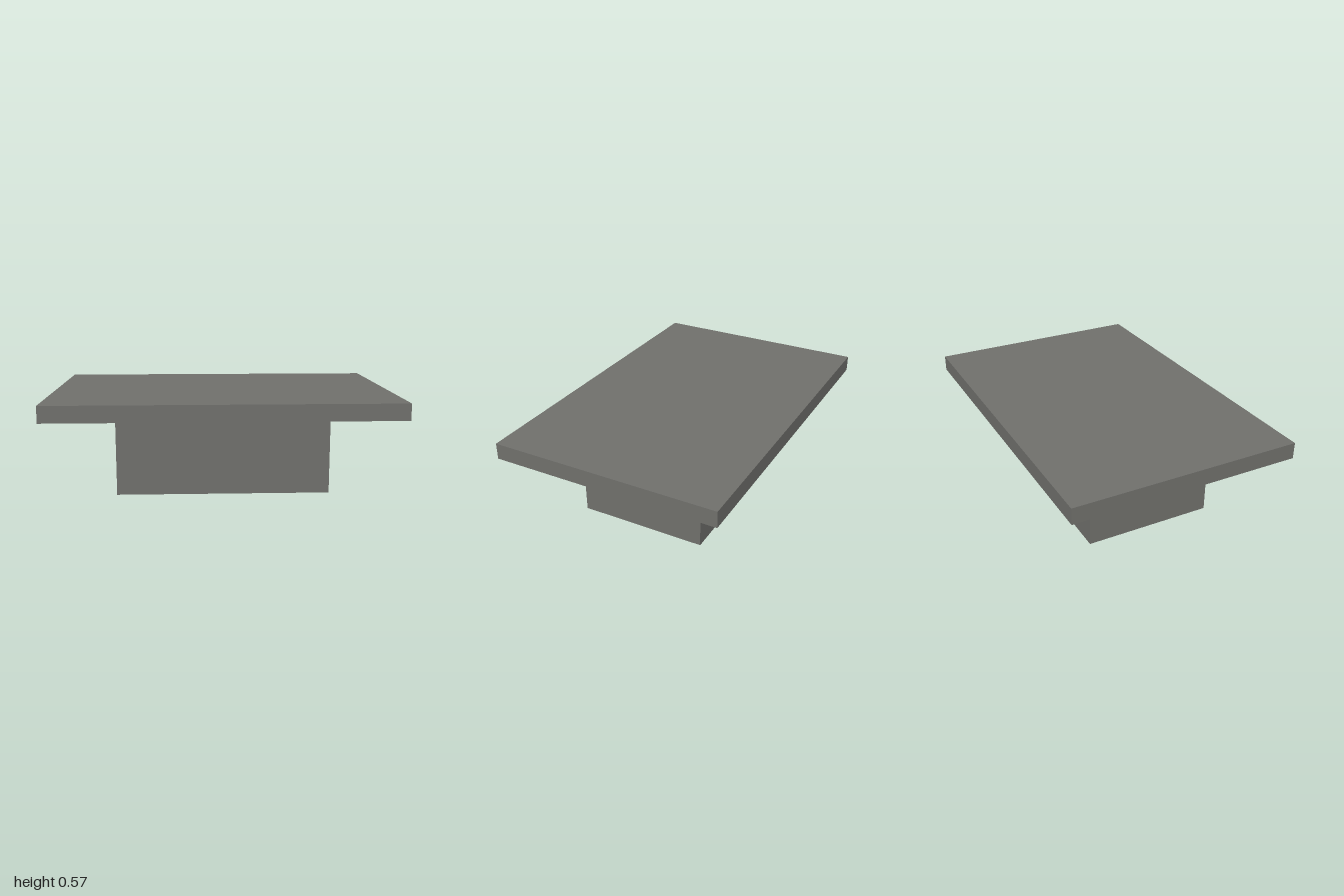
import * as THREE from 'three';

const WIDTH = 2, DEPTH = 1.334;           // tabletop footprint
const BASE_W = 1.236, BASE_D = 0.764;     // pedestal footprint
const BASE_H = 0.478, TOP_H = 0.095;

export function createModel() {
  const group = new THREE.Group();
  group.name = 'pedestalTable';
  const grey = new THREE.MeshStandardMaterial({ color: 0x70706c, side: THREE.DoubleSide });
  grey.name = 'warm grey';

  // Tabletop: a plain solid slab
  const top = new THREE.Mesh(new THREE.BoxGeometry(WIDTH, TOP_H, DEPTH), grey);
  top.name = 'tabletop';
  top.position.y = BASE_H + TOP_H / 2;
  group.add(top);

  // Pedestal: four thin walls, open underneath
  const pedestal = new THREE.Group();
  pedestal.name = 'pedestal';
  ['frontWall', 'leftWall', 'backWall', 'rightWall'].forEach((name, i) => {
    const [width, offset] = i % 2 ? [BASE_D, BASE_W / 2] : [BASE_W, BASE_D / 2];
    const geometry = new THREE.PlaneGeometry(width, BASE_H);
    geometry.translate(0, BASE_H / 2, offset).rotateY(i * Math.PI / 2);
    const wall = new THREE.Mesh(geometry, grey);
    wall.name = name;
    pedestal.add(wall);
  });
  group.add(pedestal);
  return group;
}
